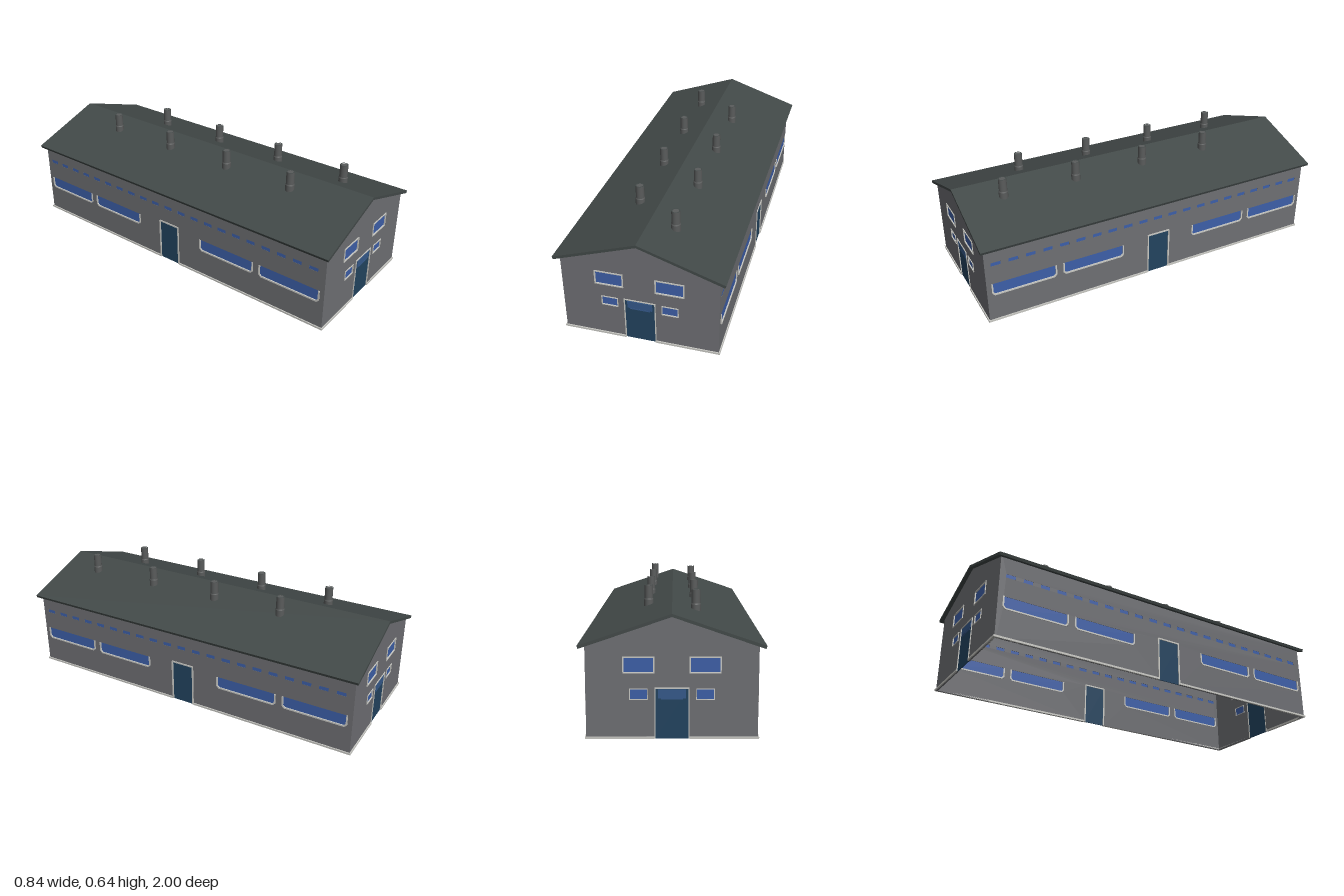
import * as THREE from 'three';

const mat = (name, color, side = THREE.FrontSide) => {
  const m = new THREE.MeshStandardMaterial({ color, side });
  m.name = name;
  return m;
};

const T = 0.008; // wall thickness
const HALF_W = 0.39, HALF_L = 0.98;

export function createModel() {
  const wallGrey = mat('wall grey', 0x6e6f73);
  const roofGrey = mat('roof slate', 0x424948);
  const trimWhite = mat('trim off-white', 0xc9c9c4);
  const glassBlue = mat('window blue', 0x3d5fa8);
  const doorBlue = mat('door navy', 0x22435f);
  const panelBlue = mat('door panel blue', 0x35598a);
  const ventGrey = mat('vent grey', 0x5a5c5c);
  const model = new THREE.Group();
  model.name = 'longBarn';

  const add = (parent, name, geo, material, x = 0, y = 0, z = 0) => {
    const m = new THREE.Mesh(geo, material);
    m.name = name;
    m.position.set(x, y, z);
    parent.add(m);
    return m;
  };
  const points = (list) => list.map(([x, y]) => new THREE.Vector2(x, y));
  const rect = (x0, y0, x1, y1) => points([[x0, y0], [x1, y0], [x1, y1], [x0, y1]]);
  const extrude = (shape, depth) => new THREE.ExtrudeGeometry(shape, { depth, bevelEnabled: false });

  // Flat plate filling a rectangle, z0 is its back face
  const plate = (parent, name, r, depth, z0, material) => {
    const [x0, y0, x1, y1] = r;
    add(parent, name, new THREE.BoxGeometry(x1 - x0, y1 - y0, depth), material,
      (x0 + x1) / 2, (y0 + y1) / 2, z0 + depth / 2);
  };

  // Three-sided surround, open towards y1, with cut corners
  const openFrame = (parent, name, [x0, y0, x1, y1], w, c) => {
    const s = Math.sign(y1 - y0);
    const run = (d) => [
      [x0 + d, y1], [x0 + d, y0 + s * (c + d / 2)], [x0 + c + d / 2, y0 + s * d],
      [x1 - c - d / 2, y0 + s * d], [x1 - d, y0 + s * (c + d / 2)], [x1 - d, y1],
    ];
    const shape = new THREE.Shape(points([...run(0), ...run(w).reverse()]));
    add(parent, name, extrude(shape, T + 0.006), trimWhite, 0, 0, -T - 0.002);
  };

  // Four-sided surround
  const closedFrame = (parent, name, [x0, y0, x1, y1], w) => {
    const shape = new THREE.Shape(rect(x0, y0, x1, y1));
    shape.holes.push(new THREE.Path(rect(x0 + w, y0 + w, x1 - w, y1 - w)));
    add(parent, name, extrude(shape, T + 0.006), trimWhite, 0, 0, -T - 0.002);
  };

  // Wall with real openings; local +z faces outwards
  const wall = (parent, outline, openings) => {
    const shape = new THREE.Shape(points(outline));
    for (const o of openings) shape.holes.push(new THREE.Path(rect(...o)));
    add(parent, 'wall', extrude(shape, T), wallGrey, 0, 0, -T);
  };

  // Gable ends
  const endWall = (name, turn) => {
    const g = new THREE.Group();
    g.name = name;
    const upper = [], lower = [];
    for (const s of [-1, 1]) {
      upper.push([s * 0.15 - 0.072, 0.304, s * 0.15 + 0.072, 0.382]);
      lower.push([s * 0.151 - 0.042, 0.182, s * 0.151 + 0.042, 0.235]);
    }
    wall(g, [[-HALF_W, 0], [-0.075, 0], [-0.075, 0.235], [0.075, 0.235], [0.075, 0],
      [HALF_W, 0], [HALF_W, 0.432], [0, 0.565], [-HALF_W, 0.432]], [...upper, ...lower]);
    for (const r of upper) {
      plate(g, 'upperWindow', r, 0.004, -0.006, glassBlue);
      closedFrame(g, 'upperWindowFrame', r, 0.006);
    }
    for (const r of lower) {
      plate(g, 'lowerWindow', r, 0.004, -0.006, glassBlue);
      closedFrame(g, 'lowerWindowFrame', r, 0.004);
    }
    plate(g, 'door', [-0.075, 0, 0.075, 0.236], 0.005, -0.006, doorBlue);
    plate(g, 'doorPanel', [-0.062, 0.19, 0.062, 0.229], 0.005, -0.002, panelBlue);
    plate(g, 'doorPanelLip', [-0.05, 0.183, 0.05, 0.188], 0.004, -0.002, panelBlue);
    openFrame(g, 'doorFrame', [-0.079, 0.239, 0.079, 0], 0.005, 0);
    for (const s of [-1, 1]) {
      const a = s * 0.079, b = s * 0.396;
      plate(g, 'baseTrim', [Math.min(a, b), 0, Math.max(a, b), 0.01], T + 0.006, -T, trimWhite);
    }
    g.rotation.y = turn;
    g.position.z = Math.cos(turn) * HALF_L;
    model.add(g);
  };
  endWall('frontWall', 0);
  endWall('backWall', Math.PI);

  // Long sides
  const sideWall = (name, s) => {
    const g = new THREE.Group();
    g.name = name;
    const L = HALF_L - T;
    const long = [[-0.95, -0.61], [-0.565, -0.22], [0.22, 0.56], [0.605, 0.95]]
      .map(([a, b]) => [a, 0.157, b, 0.221]);
    const slots = [];
    for (let i = 0; i < 21; i++) {
      const u = (i - 10) * 0.0917 - 0.005;
      slots.push([u - 0.025, 0.324, u + 0.025, 0.343]);
    }
    wall(g, [[-L, 0], [-0.065, 0], [-0.065, 0.235], [0.065, 0.235], [0.065, 0],
      [L, 0], [L, 0.432], [-L, 0.432]], [...long, ...slots]);
    for (const r of long) {
      plate(g, 'longWindow', r, 0.004, -0.006, glassBlue);
      openFrame(g, 'longWindowFrame', [r[0] - 0.005, r[1] - 0.004, r[2] + 0.005, r[3]], 0.008, 0.014);
    }
    for (const r of slots) plate(g, 'slotWindow', r, 0.004, -0.005, glassBlue);
    plate(g, 'sideDoor', [-0.065, 0, 0.065, 0.236], 0.005, -0.006, doorBlue);
    openFrame(g, 'sideDoorFrame', [-0.069, 0.241, 0.069, 0], 0.008, 0.004);
    for (const t of [-1, 1]) {
      const a = t * 0.069, b = t * L;
      plate(g, 'baseTrim', [Math.min(a, b), 0, Math.max(a, b), 0.01], T + 0.006, -T, trimWhite);
    }
    g.rotation.y = s * Math.PI / 2;
    g.position.x = s * HALF_W;
    model.add(g);
  };
  sideWall('leftWall', 1);
  sideWall('rightWall', -1);

  // Pitched roof slab
  const roof = new THREE.Shape(points([[-0.417, 0.42], [0, 0.563], [0.417, 0.42],
    [0.422, 0.434], [0, 0.577], [-0.422, 0.434]]));
  add(model, 'roof', extrude(roof, 2), roofGrey, 0, 0, -1);

  // Two staggered rows of stepped roof vents
  const lower = new THREE.CylinderGeometry(0.024, 0.024, 0.042, 16);
  const collar = new THREE.CylinderGeometry(0.021, 0.024, 0.007, 16);
  const upper = new THREE.CylinderGeometry(0.0215, 0.0215, 0.07, 16, 1, true);
  const rim = new THREE.RingGeometry(0.0165, 0.0215, 16).rotateX(-Math.PI / 2);
  const cap = new THREE.CircleGeometry(0.0165, 16).rotateX(-Math.PI / 2);
  const rows = [[-0.116, [-0.62, -0.215, 0.185, 0.59]], [0.121, [-0.445, -0.045, 0.36, 0.765]]];
  for (const [x, zs] of rows) {
    for (const z of zs) {
      const g = new THREE.Group();
      g.name = 'roofVent';
      g.position.set(x, 0, z);
      add(g, 'ventBase', lower, ventGrey, 0, 0.543);
      add(g, 'ventCollar', collar, ventGrey, 0, 0.5675);
      add(g, 'ventPipe', upper, ventGrey, 0, 0.602);
      add(g, 'ventRim', rim, roofGrey, 0, 0.637);
      add(g, 'ventCap', cap, ventGrey, 0, 0.636);
      model.add(g);
    }
  }
  return model;
}
